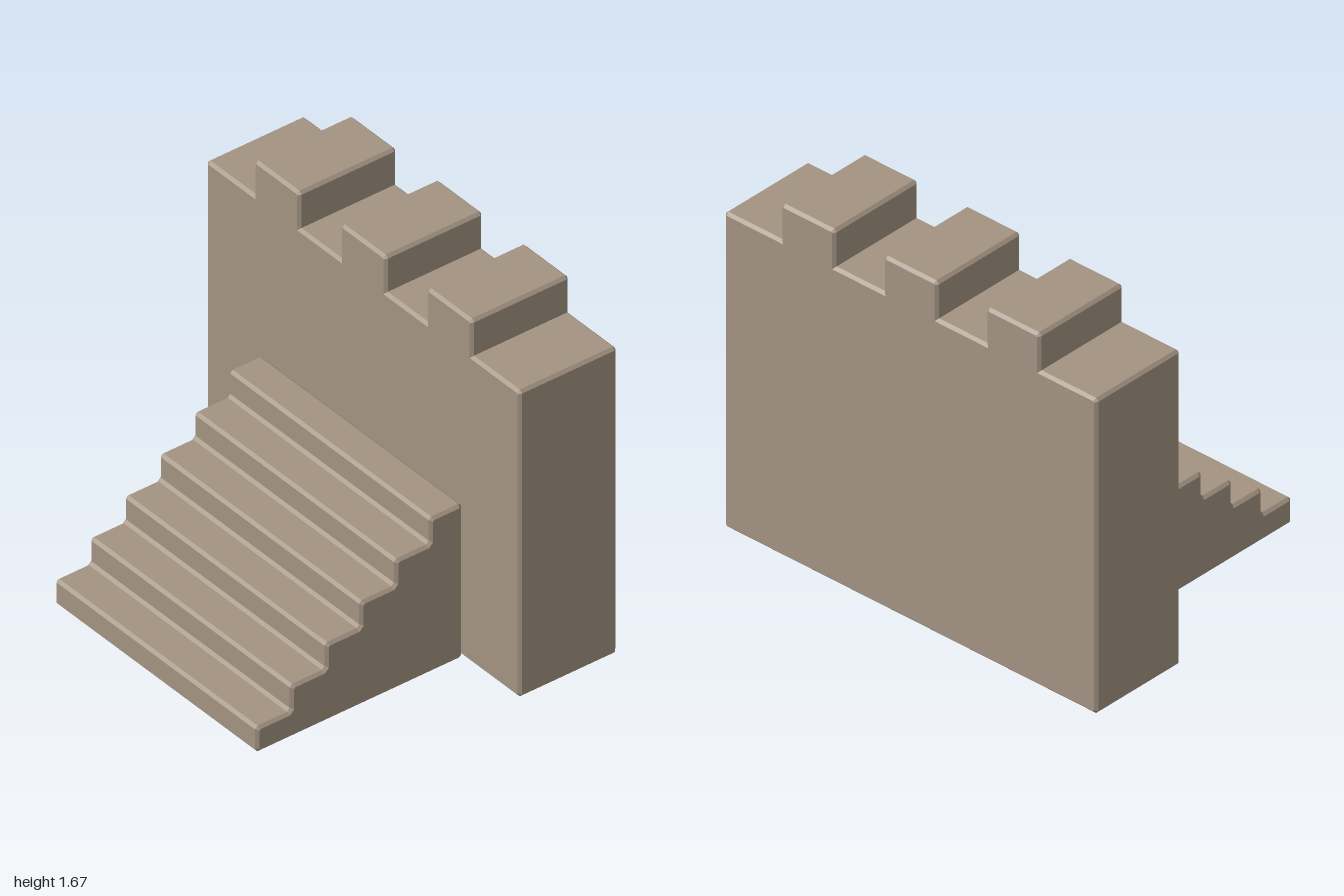
import * as THREE from 'three';

const BEVEL = 0.013;

// Cuts each corner of an outline; inward corners are cut only when asked.
function chamferedShape(points, cut, cutInward) {
  const p = points.map(([x, y]) => new THREE.Vector2(x, y));
  const out = [];
  p.forEach((c, i) => {
    const a = p[(i + p.length - 1) % p.length];
    const b = p[(i + 1) % p.length];
    const toA = a.clone().sub(c).normalize();
    const toB = b.clone().sub(c).normalize();
    const inward = toA.cross(toB) > 0; // outline runs counter-clockwise
    if (inward && !cutInward) out.push(c);
    else out.push(c.clone().addScaledVector(toA, cut), c.clone().addScaledVector(toB, cut));
  });
  return new THREE.Shape(out);
}

// Extrudes an outline to a total depth, centred, with a flat bevel inside the outline.
function bevelledSlab(shape, depth) {
  const geometry = new THREE.ExtrudeGeometry(shape, {
    depth: depth - 2 * BEVEL,
    bevelEnabled: true,
    bevelSegments: 1,
    bevelThickness: BEVEL,
    bevelSize: BEVEL,
    bevelOffset: -BEVEL,
  });
  return geometry.translate(0, 0, BEVEL - depth / 2);
}

export function createModel() {
  const model = new THREE.Group();
  model.name = 'castleWallWithStairs';
  const stone = new THREE.MeshStandardMaterial({ color: 0xa39382 });
  stone.name = 'stone';

  // Wall with three merlons, outline seen from the front
  const wallTop = 1.5, merlonTop = 1.675;
  const wallOutline = [[-1, 0], [1, 0], [1, wallTop]];
  for (const x of [0.55, 0, -0.55]) {
    const h = 0.145;
    wallOutline.push([x + h, wallTop], [x + h, merlonTop], [x - h, merlonTop], [x - h, wallTop]);
  }
  wallOutline.push([-1, wallTop]);
  const wall = new THREE.Mesh(bevelledSlab(chamferedShape(wallOutline, BEVEL, false), 0.495), stone);
  wall.name = 'battlementWall';
  wall.position.z = -0.5225;
  model.add(wall);

  // Staircase, outline seen from the side (z, y), climbing towards the wall
  const steps = 6, rise = 0.1255, run = 0.1755, back = -0.272, front = 0.77;
  const stairOutline = [[back, 0], [front, 0]];
  for (let i = 0; i < steps; i++) {
    const z = front - i * run;
    const y = (i + 1) * rise;
    stairOutline.push([z, y], [i === steps - 1 ? back : z - run, y]);
    if (i < steps - 1) continue;
  }
  const stairs = new THREE.Mesh(bevelledSlab(chamferedShape(stairOutline, BEVEL, true), 1.29), stone);
  stairs.name = 'staircase';
  stairs.rotation.y = -Math.PI / 2;
  model.add(stairs);

  return model;
}
